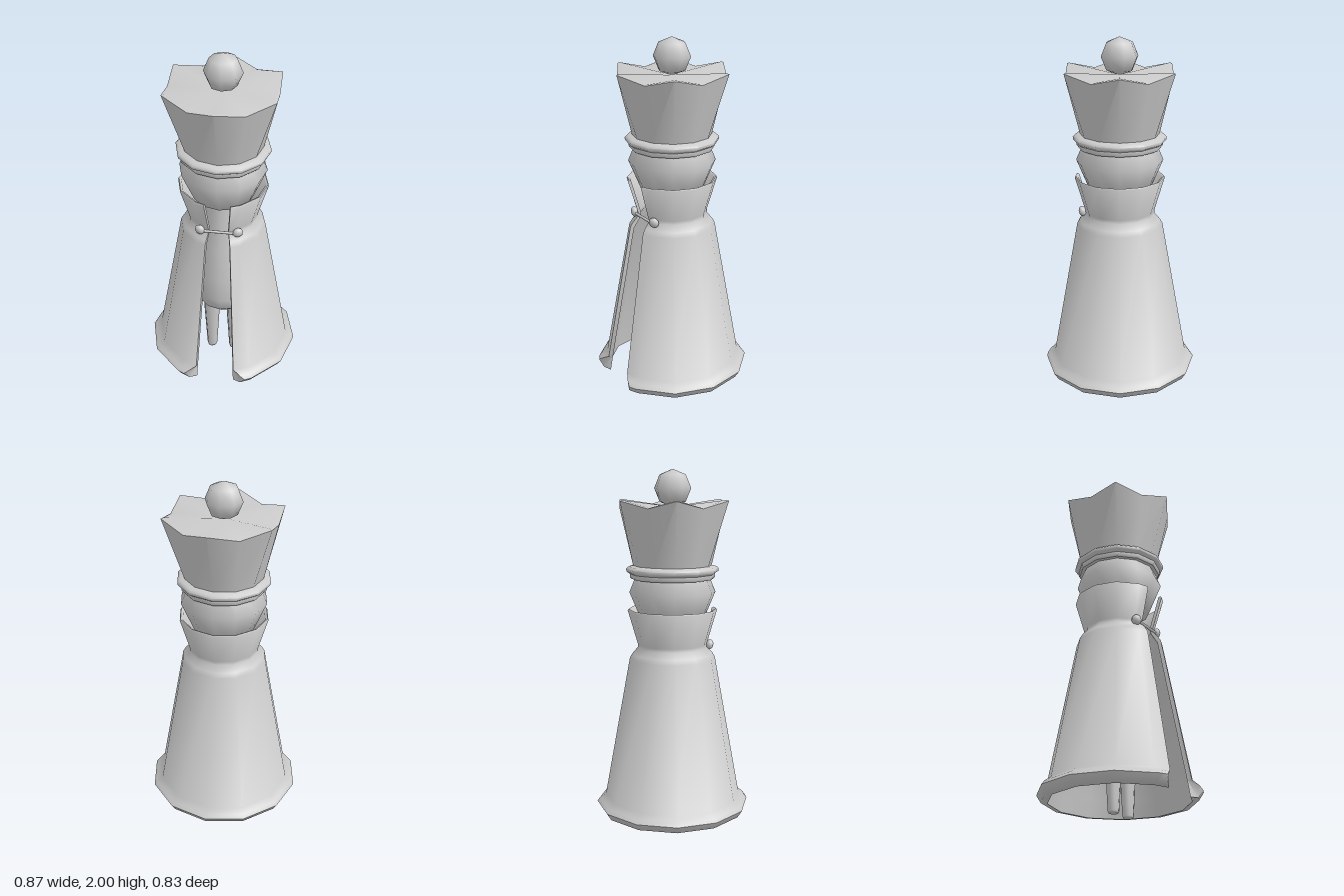
import * as THREE from 'three';
import { toCreasedNormals } from 'three/addons/utils/BufferGeometryUtils.js';

const material = new THREE.MeshStandardMaterial({ color: 0xcccccc, side: THREE.DoubleSide });
const rad = THREE.MathUtils.degToRad;

// point at an angle round the y axis, 0 = front, 90 = model's left
const polar = (r, y, deg) => new THREE.Vector3(r * Math.sin(rad(deg)), y, r * Math.cos(rad(deg)));

// skin a row of cross-sections; closed sections also get end caps
function loft(sections, capProfile, crease) {
  const pos = [];
  const tri = (...pts) => pts.forEach(p => pos.push(p.x, p.y, p.z));
  const n = sections[0].length;
  for (let i = 0; i < sections.length - 1; i++) {
    for (let j = 0; j < (capProfile ? n : n - 1); j++) {
      const k = (j + 1) % n, s = sections[i], t = sections[i + 1];
      tri(s[j], t[j], t[k]);
      tri(s[j], t[k], s[k]);
    }
  }
  if (capProfile) {
    const first = sections[0], last = sections[sections.length - 1];
    for (const [a, b, c] of THREE.ShapeUtils.triangulateShape(capProfile, [])) {
      tri(first[a], first[b], first[c]);
      tri(last[a], last[c], last[b]);
    }
  }
  const geo = new THREE.BufferGeometry();
  geo.setAttribute('position', new THREE.Float32BufferAttribute(pos, 3));
  return toCreasedNormals(geo, crease);
}

const lathe = (pts, sides) =>
  new THREE.LatheGeometry(pts.map(p => new THREE.Vector2(...p)), sides);

// open-fronted cloak with collar, waist, skirt and rolled hem
function cloakGeometry() {
  const profile = [
    [0.375, 0.07], [0.41, 0.075], [0.435, 0.115], [0.42, 0.135], [0.385, 0.16],
    [0.24, 0.96], [0.225, 0.985], [0.195, 1.02], [0.195, 1.04], [0.25, 1.228], [0.245, 1.236],
    [0.232, 1.23], [0.178, 1.04], [0.178, 1.02], [0.22, 0.95], [0.36, 0.16],
  ].map(p => new THREE.Vector2(...p));
  const half = [16.5, 30, 60, 90, 120, 150, 180];
  const angles = [...half, ...half.slice(0, -1).reverse().map(a => 360 - a)];
  const sections = angles.map((a, i) => profile.map(p => {
    // the hem rounds back at the two front corners
    const back = p.x > 0.4 ? (p.x > 0.43 ? 8 : 5) : 0;
    const shift = i === 0 ? back : i === angles.length - 1 ? -back : 0;
    return polar(p.x, p.y, a + shift);
  }));
  return loft(sections, profile, 1.0);
}

// six-pointed crown, flaring from a round base, with its lid
function crownGeometry() {
  const sections = [];
  for (let i = 0; i <= 12; i++) {
    const tip = i % 2 === 0;
    const r = tip ? 0.333 : 0.29, y = tip ? 1.832 : 1.793;
    sections.push([
      polar(0.205, 1.43, i * 30), polar(0.218, 1.48, i * 30),
      polar(r, y, i * 30), polar(r - 0.014, y + 0.004, i * 30),
      polar(0.004, 1.798, i * 30),
    ]);
  }
  return loft(sections, null, 0.8);
}

export function createModel() {
  const group = new THREE.Group();
  const add = (name, geo, x = 0, y = 0, z = 0) => {
    const mesh = new THREE.Mesh(geo, material);
    mesh.name = name;
    mesh.position.set(x, y, z);
    group.add(mesh);
    return mesh;
  };
  const axis = 0.017;

  add('cloak', cloakGeometry(), 0, 0, axis);
  add('crown', crownGeometry(), 0, 0, axis);
  add('crownBall', new THREE.SphereGeometry(0.103, 8, 4), 0, 1.897, axis);
  add('head', new THREE.SphereGeometry(0.24, 12, 4), 0, 1.33, axis);

  // stepped band under the crown
  add('crownBand', toCreasedNormals(lathe([
    [0.19, 1.405], [0.23, 1.405], [0.236, 1.413], [0.236, 1.432], [0.255, 1.445],
    [0.257, 1.46], [0.245, 1.472], [0.21, 1.48],
  ], 12), 0.9), 0, 0, axis);

  // slim body with a rounded base
  add('body', lathe([
    [0, 0.345], [0.09, 0.365], [0.145, 0.42], [0.165, 0.5], [0.16, 0.65],
    [0.135, 0.85], [0.11, 1.0], [0.1, 1.2],
  ], 12), 0, 0, axis);

  // legs and cloak clasp, mirrored
  for (const side of [1, -1]) {
    const label = side > 0 ? 'left' : 'right';
    add(label + 'Leg', lathe([
      [0, 0], [0.026, 0], [0.03, 0.01], [0.033, 0.06], [0.048, 0.33], [0.048, 0.42],
    ], 8), side * 0.068, 0, 0.025);
    const knob = add(label + 'ClaspKnob', new THREE.SphereGeometry(0.029, 10, 8), side * 0.104, 1.03, 0.198);
    knob.scale.z = 0.75;
    knob.rotation.set(0.3, side * 0.4, 0);
  }
  const bar = add('claspBar', new THREE.CylinderGeometry(0.008, 0.008, 0.2, 8), 0, 1.026, 0.203);
  bar.rotation.z = Math.PI / 2;

  return group;
}
